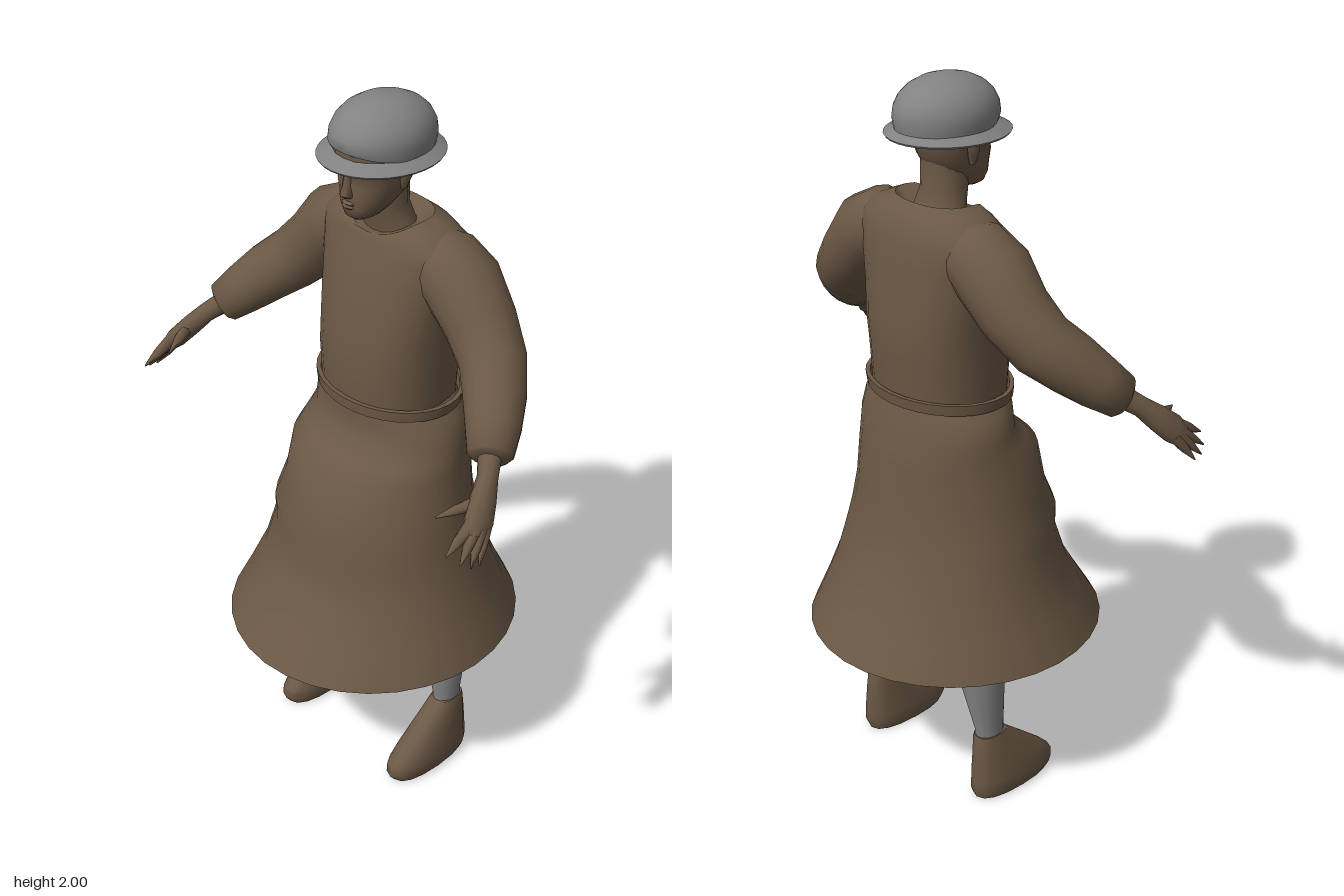
import * as THREE from 'three';
import { toCreasedNormals } from 'three/addons/utils/BufferGeometryUtils.js';

const brown = new THREE.MeshStandardMaterial({ color: 0x6b5845, side: THREE.DoubleSide });
brown.name = 'brown cloth and skin';
const grey = new THREE.MeshStandardMaterial({ color: 0x828282, side: THREE.DoubleSide });
grey.name = 'grey';

// Skin a list of closed rings, optionally capping the ends
function skin(rings, capStart, capEnd) {
  const n = rings[0].length, pos = [], idx = [];
  rings.forEach(r => r.forEach(p => pos.push(p.x, p.y, p.z)));
  for (let i = 0; i < rings.length - 1; i++) {
    for (let j = 0; j < n; j++) {
      const a = i * n + j, b = i * n + (j + 1) % n;
      idx.push(a, b, b + n, a, b + n, a + n);
    }
  }
  const cap = (ring, base, flip) => {
    const c = ring.reduce((s, p) => s.add(p), new THREE.Vector3()).divideScalar(n);
    const k = pos.length / 3;
    pos.push(c.x, c.y, c.z);
    for (let j = 0; j < n; j++) {
      const a = base + j, b = base + (j + 1) % n;
      if (flip) idx.push(k, b, a); else idx.push(k, a, b);
    }
  };
  if (capStart) cap(rings[0], 0, true);
  if (capEnd) cap(rings[rings.length - 1], (rings.length - 1) * n, false);
  const g = new THREE.BufferGeometry();
  g.setAttribute('position', new THREE.Float32BufferAttribute(pos, 3));
  g.setIndex(idx);
  return g;
}

// Level sections: [y, half width, front z, back z, dip of the front edge, centre x]
function stack(rows, { n = 24, square = 1, caps = [false, false] } = {}) {
  const pw = v => Math.sign(v) * Math.abs(v) ** square;
  return skin(rows.map(([y, w, f, b, dip = 0, cx = 0]) =>
    Array.from({ length: n }, (_, j) => {
      const a = j / n * Math.PI * 2, c = Math.cos(a);
      return new THREE.Vector3(cx + w * pw(Math.sin(a)), y - dip * Math.max(0, c) ** 2,
        (f + b) / 2 + (f - b) / 2 * pw(c));
    })), ...caps);
}

// Tapered limb through points [x, y, z, radius, flatness]
function limb(rows, n = 12) {
  const pts = rows.map(r => new THREE.Vector3(r[0], r[1], r[2]));
  return skin(rows.map((r, i) => {
    const t = pts[Math.min(i + 1, pts.length - 1)].clone().sub(pts[Math.max(i - 1, 0)]).normalize();
    const u = new THREE.Vector3(0, 0, 1).addScaledVector(t, -t.z).normalize();
    const v = t.clone().cross(u);
    return Array.from({ length: n }, (_, j) => {
      const a = j / n * Math.PI * 2;
      return pts[i].clone().addScaledVector(u, r[3] * Math.cos(a))
        .addScaledVector(v, r[3] * (r[4] ?? 1) * Math.sin(a));
    });
  }), true, true);
}

function mirrored(g) {
  const m = g.clone().scale(-1, 1, 1);
  const ix = m.index.array;
  for (let i = 0; i < ix.length; i += 3) [ix[i], ix[i + 1]] = [ix[i + 1], ix[i]];
  return m;
}

export function createModel() {
  const model = new THREE.Group();
  model.name = 'figure';
  const add = (name, g, mat, crease = 1.1) => {
    const m = new THREE.Mesh(toCreasedNormals(g, crease), mat);
    m.name = name;
    model.add(m);
  };
  const pair = (name, g, mat, crease) => {
    add('left ' + name, g, mat, crease);
    add('right ' + name, mirrored(g), mat, crease);
  };

  // Coat body with a dipped neckline
  add('coat body', stack([
    [1.17, 0.18, 0.1, -0.21], [1.3, 0.183, 0.107, -0.22], [1.38, 0.188, 0.098, -0.225],
    [1.46, 0.198, 0.082, -0.215], [1.55, 0.212, 0.06, -0.208], [1.61, 0.225, 0.042, -0.2],
    [1.645, 0.222, 0.032, -0.188, 0.005], [1.675, 0.17, 0.028, -0.172, 0.02],
    [1.697, 0.118, 0.024, -0.145, 0.042], [1.67, 0.085, 0.005, -0.125, 0.02],
  ], { square: 0.85, caps: [true, true] }), brown);

  // Flared open skirt, pushed out over the lap
  add('skirt', stack([
    [1.19, 0.183, 0.1, -0.212], [1.15, 0.222, 0.102, -0.222], [1.09, 0.235, 0.105, -0.235],
    [1.05, 0.243, 0.15, -0.243], [1.01, 0.253, 0.198, -0.25], [0.9, 0.27, 0.22, -0.256],
    [0.82, 0.29, 0.257, -0.27], [0.76, 0.3, 0.252, -0.285], [0.65, 0.328, 0.292, -0.32],
    [0.56, 0.362, 0.35, -0.362], [0.47, 0.4, 0.41, -0.408],
  ].reverse(), { n: 32 }), brown);

  // Loose belt standing off the waist
  add('belt', stack([
    [1.175, 0.213, 0.113, -0.226], [1.205, 0.217, 0.115, -0.23],
    [1.205, 0.205, 0.103, -0.218], [1.175, 0.201, 0.101, -0.214], [1.175, 0.213, 0.113, -0.226],
  ], { n: 32 }), brown, 0.8);

  // Sleeves
  pair('sleeve', limb([
    [0.11, 1.605, -0.085, 0.07], [0.165, 1.59, -0.085, 0.095], [0.225, 1.555, -0.085, 0.102],
    [0.295, 1.475, -0.08, 0.093], [0.365, 1.405, -0.055, 0.086], [0.42, 1.355, -0.005, 0.08],
    [0.465, 1.305, 0.045, 0.07], [0.5, 1.265, 0.09, 0.058], [0.505, 1.26, 0.097, 0.045],
  ], 16), brown);

  // Hands with pointed fingers
  pair('hand', limb([
    [0.495, 1.27, 0.085, 0.03], [0.53, 1.235, 0.13, 0.026], [0.553, 1.2, 0.168, 0.036, 0.75],
    [0.575, 1.165, 0.205, 0.042, 0.6], [0.59, 1.14, 0.228, 0.03, 0.5],
  ], 10), brown);
  [[0.62, 1.08, 0.245, 0.588, 1.15, 0.195], [0.618, 1.085, 0.272, 0.588, 1.15, 0.212],
    [0.605, 1.1, 0.295, 0.582, 1.155, 0.225], [0.577, 1.12, 0.315, 0.572, 1.165, 0.232],
    [0.506, 1.18, 0.282, 0.55, 1.2, 0.185]].forEach(([x, y, z, bx, by, bz], i) =>
    pair(i < 4 ? 'finger ' + (i + 1) : 'thumb', limb([
      [bx, by, bz, 0.017], [(x + bx) / 2, (y + by) / 2, (z + bz) / 2, 0.013], [x, y, z, 0.002],
    ], 6), brown));

  // Legs and shoes
  pair('leg', stack([
    [0.17, 0.031, -0.035, -0.122, 0, 0.222], [0.22, 0.033, -0.033, -0.125, 0, 0.22],
    [0.36, 0.058, -0.024, -0.152, 0, 0.202], [0.47, 0.066, -0.018, -0.162, 0, 0.194],
    [0.6, 0.07, -0.005, -0.15, 0, 0.17], [0.8, 0.082, 0.03, -0.14, 0, 0.135],
    [1.05, 0.09, 0.05, -0.15, 0, 0.1],
  ], { n: 14, caps: [true, true] }), grey);
  pair('shoe', stack([
    [0, 0.05, 0.135, -0.13, 0, 0.225], [0.02, 0.057, 0.15, -0.138, 0, 0.226],
    [0.05, 0.056, 0.148, -0.138, 0, 0.226], [0.085, 0.052, 0.112, -0.137, 0, 0.225],
    [0.14, 0.045, 0.045, -0.133, 0, 0.224], [0.185, 0.038, -0.012, -0.13, 0, 0.222],
    [0.2, 0.034, -0.028, -0.126, 0, 0.222],
  ], { n: 16, square: 0.85, caps: [true, true] }), brown, 0.9);

  // Neck and head
  add('neck', stack([
    [1.63, 0.09, 0.0, -0.125], [1.68, 0.07, 0.01, -0.11], [1.72, 0.06, 0.022, -0.098],
    [1.79, 0.062, 0.03, -0.098],
  ], { n: 16 }), brown);
  add('head', stack([
    [1.704, 0.02, 0.07, 0.025], [1.715, 0.04, 0.084, -0.01], [1.74, 0.059, 0.09, -0.05],
    [1.77, 0.073, 0.088, -0.085], [1.8, 0.082, 0.09, -0.102], [1.822, 0.086, 0.086, -0.11],
    [1.84, 0.09, 0.1, -0.115], [1.9, 0.098, 0.102, -0.13], [1.95, 0.07, 0.06, -0.1],
  ], { n: 20, square: 0.9, caps: [true, true] }), brown);
  add('nose', stack([
    [1.768, 0.013, 0.098, 0.07], [1.777, 0.017, 0.11, 0.07], [1.8, 0.011, 0.105, 0.07],
    [1.835, 0.009, 0.098, 0.07],
  ], { n: 8, caps: [true, true] }), brown);
  add('lips', stack([
    [1.737, 0.018, 0.091, 0.06], [1.744, 0.024, 0.098, 0.06], [1.748, 0.024, 0.092, 0.06],
    [1.753, 0.024, 0.098, 0.06], [1.759, 0.016, 0.091, 0.06],
  ], { n: 10, caps: [true, true] }), brown, 0.6);
  pair('ear', stack([
    [1.785, 0.006, -0.012, -0.028, 0, 0.082], [1.81, 0.011, -0.005, -0.038, 0, 0.086],
    [1.84, 0.012, -0.002, -0.046, 0, 0.09], [1.855, 0.006, -0.01, -0.038, 0, 0.09],
  ], { n: 8, caps: [true, true] }), brown);

  // Helmet: dome lifted at the front above a thin sloping brim
  const dome = [[1.872, 0.117], [1.9, 0.121], [1.925, 0.118], [1.95, 0.107], [1.972, 0.087],
    [1.988, 0.06], [1.997, 0.03], [2, 0.004]];
  add('helmet dome', stack(dome.map(([y, w], i) =>
    [y, w, -0.03 + w * 1.2, -0.03 - w * 1.2, i ? 0 : -0.022]), { n: 32, caps: [false, true] }), grey);
  add('helmet brim', stack([
    [1.866, 0.108, 0.095, -0.155], [1.853, 0.148, 0.14, -0.19], [1.858, 0.151, 0.143, -0.193],
    [1.876, 0.112, 0.1, -0.162],
  ], { n: 32 }), grey);
  return model;
}
